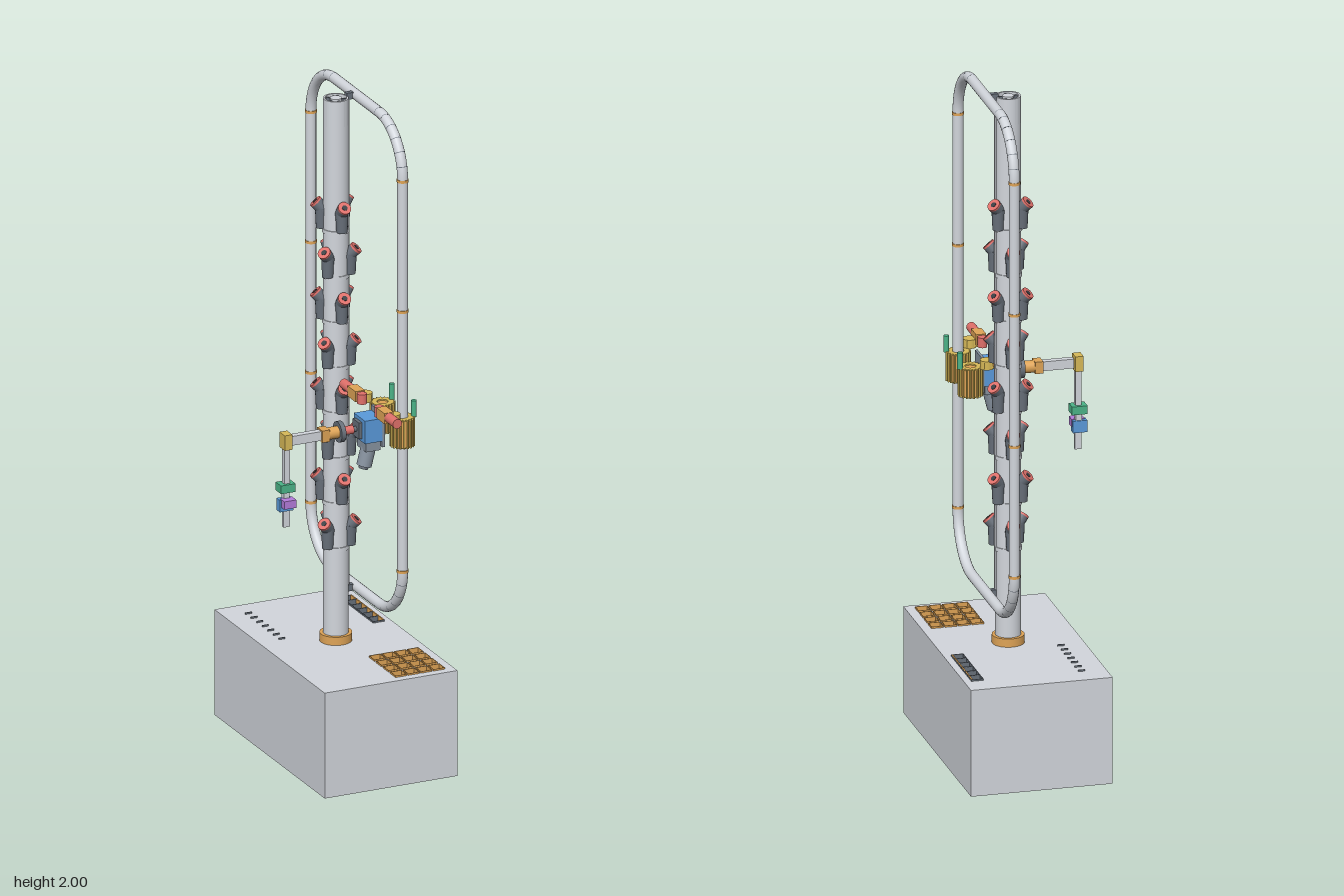
import * as THREE from 'three';

const mat = (name, color) => Object.assign(new THREE.MeshStandardMaterial({ color }), { name });
const M = {
  steel: mat('steel', 0xd2d6dc), slate: mat('slate', 0x87929f), dark: mat('dark grey', 0x68707a),
  black: mat('black', 0x3a3d42), red: mat('red', 0xe0706a), orange: mat('orange', 0xdfa456),
  gold: mat('gold', 0xd8ba58), blue: mat('blue', 0x5a9adb), green: mat('green', 0x4bb488),
  purple: mat('purple', 0xb47cdc),
};

function add(parent, name, geo, material, x = 0, y = 0, z = 0) {
  const m = new THREE.Mesh(geo, material);
  m.name = name;
  m.position.set(x, y, z);
  parent.add(m);
  return m;
}
const box = (p, n, m, w, h, d, x, y, z) => add(p, n, new THREE.BoxGeometry(w, h, d), m, x, y, z);
// Cylinder along the chosen axis
function cyl(p, n, m, r, len, axis, x, y, z, r2 = r, seg = 24) {
  const g = new THREE.CylinderGeometry(r, r2, len, seg);
  if (axis === 'x') g.rotateZ(Math.PI / 2);
  if (axis === 'z') g.rotateX(Math.PI / 2);
  return add(p, n, g, m, x, y, z);
}
function group(p, name, x = 0, y = 0, z = 0) {
  const g = new THREE.Group();
  g.name = name;
  g.position.set(x, y, z);
  p.add(g);
  return g;
}
// Rectangle in plan, with its corners at x, z plus or minus half the size
function rect(Type, x, z, w, d) {
  return new Type([[-1, -1], [1, -1], [1, 1], [-1, 1]]
    .map(([a, b]) => new THREE.Vector2(x + a * w / 2, -z + b * d / 2)));
}
const extrudeUp = (shape, depth) =>
  new THREE.ExtrudeGeometry(shape, { depth, bevelEnabled: false, curveSegments: 10 }).rotateX(-Math.PI / 2);

function buildBase(root) {
  const base = group(root, 'base');
  const floor = 0.29, top = 0.323;
  box(base, 'baseBox', M.steel, 0.42, floor, 0.735, 0.042, floor / 2, -0.0275);
  const lid = rect(THREE.Shape, 0.042, -0.0275, 0.42, 0.735);
  // A framed pocket sunk into the lid
  const pocket = (x, z, w, d, name, floorMaterial, frameMaterial) => {
    lid.holes.push(rect(THREE.Path, x, z, w, d));
    const frame = rect(THREE.Shape, x, z, w, d);
    frame.holes.push(rect(THREE.Path, x, z, w - 0.003, d - 0.003));
    add(base, 'pocketFrame', extrudeUp(frame, top + 0.005 - floor), frameMaterial, 0, floor, 0);
    box(base, name, floorMaterial, w - 0.002, 0.004, d - 0.002, x, floor + 0.002, z);
  };
  for (const z of [0.155, 0.202, 0.249, 0.297]) {
    for (const x of [0.086, 0.126, 0.166, 0.206]) {
      pocket(x, z, 0.036, 0.036, 'sampleFloor', M.green, M.orange);
      cyl(base, 'sample', M.red, 0.0165, 0.008, 'y', x, floor + 0.006, z);
    }
  }
  // Strip of tile pockets with an orange wall along one side
  for (let i = 0; i < 6; i++) {
    const z = -0.304 + i * 0.0368;
    pocket(0.213, z, 0.036, 0.0358, 'tile', M.slate, M.dark);
    box(base, 'tileWall', M.orange, 0.004, top + 0.006 - floor, 0.0325, 0.2285, (floor + top + 0.006) / 2, z);
  }
  add(base, 'baseLid', extrudeUp(lid, top - floor), M.steel, 0, floor, 0);
  // Row of upright tool blades
  for (let i = 0; i < 7; i++)
    box(base, 'toolBlade', M.dark, 0.02, 0.006, 0.0025, -0.095, 0.325, -0.322 + i * 0.037);
}

function buildCup(parent, angle, y) {
  const c = group(parent, 'plantCup', 0, y, 0);
  c.rotation.y = angle;
  cyl(c, 'cupBody', M.dark, 0.019, 0.062, 'y', 0, -0.024, 0.041, 0.016, 16);
  const head = group(c, 'cupHead', 0, 0.006, 0.042);
  head.rotation.x = 0.75;
  cyl(head, 'cupNeck', M.dark, 0.0195, 0.034, 'y', 0, 0.003, 0, 0.018, 16);
  cyl(head, 'cupRim', M.red, 0.0195, 0.006, 'y', 0, 0.023, 0, 0.0195, 16);
  cyl(head, 'cupHole', M.black, 0.008, 0.002, 'y', 0, 0.0262, 0, 0.008, 16);
}

function buildTower(root) {
  const t = group(root, 'tower', 0.042, 0, -0.029);
  cyl(t, 'collar', M.orange, 0.047, 0.025, 'y', 0, 0.336, 0, 0.047, 32);
  // Hollow outer wall with a central pipe
  const wall = [[0.037, 0.323], [0.037, 1.985]].map(([r, y]) => new THREE.Vector2(r, y));
  add(t, 'towerWall', new THREE.LatheGeometry(wall, 32), M.steel);
  const rim = new THREE.Shape().absarc(0, 0, 0.037, 0, Math.PI * 2);
  rim.holes.push(new THREE.Path().absarc(0, 0, 0.031, 0, Math.PI * 2, true));
  add(t, 'towerRim', extrudeUp(rim, 0.08), M.steel, 0, 1.905, 0);
  cyl(t, 'towerFloor', M.dark, 0.032, 0.01, 'y', 0, 1.92, 0);
  cyl(t, 'corePipe', M.steel, 0.017, 0.07, 'y', 0, 1.95, 0);
  for (let i = 0; i < 5; i++) {
    const s = group(t, 'spoke', 0, 1.975, 0);
    s.rotation.y = i * Math.PI * 0.4;
    box(s, 'spokeBar', M.dark, 0.005, 0.012, 0.016, 0, 0, 0.024);
  }
  // Slim upright strip facing the rail
  box(t, 'railStrip', M.steel, 0.008, 1.5, 0.014, 0.0365, 1.235, 0);
  // Staggered rows of three cups
  for (let i = 0; i < 8; i++) {
    const y = 1.642 - i * 0.1385;
    cyl(t, 'sectionRing', M.steel, 0.0395, 0.012, 'y', 0, y - 0.06, 0, 0.0395, 32);
    for (let k = 0; k < 3; k++) buildCup(t, (k * 2 + (i % 2)) * Math.PI / 3, y);
  }
}

function buildRail(root) {
  const rail = group(root, 'railLoop', 0.106, 0, 0);
  const z0 = -0.33, z1 = 0.282, y0 = 0.478, y1 = 1.984, r = 0.155, k = r * 0.4477;
  const V = (y, z) => new THREE.Vector3(0, y, z);
  const path = new THREE.CurvePath();
  const arc = (a, b, c, d) => {
    const curve = new THREE.CubicBezierCurve3(a, b, c, d);
    path.add(curve);
    // Dark seams on the bent sections
    for (let i = 0; i <= 6; i++) {
      const u = i / 6;
      const ring = add(rail, 'bendSeam', new THREE.CylinderGeometry(0.0155, 0.0155, 0.002, 16), M.dark);
      ring.position.copy(curve.getPointAt(u));
      ring.quaternion.setFromUnitVectors(new THREE.Vector3(0, 1, 0), curve.getTangentAt(u));
    }
  };
  const line = (a, b) => path.add(new THREE.LineCurve3(a, b));
  line(V(y0 + r, z1), V(y1 - r, z1));
  arc(V(y1 - r, z1), V(y1 - k, z1), V(y1, z1 - k), V(y1, z1 - r));
  line(V(y1, z1 - r), V(y1, z0 + r));
  arc(V(y1, z0 + r), V(y1, z0 + k), V(y1 - k, z0), V(y1 - r, z0));
  line(V(y1 - r, z0), V(y0 + r, z0));
  arc(V(y0 + r, z0), V(y0 + k, z0), V(y0, z0 + k), V(y0, z0 + r));
  line(V(y0, z0 + r), V(y0, z1 - r));
  arc(V(y0, z1 - r), V(y0, z1 - k), V(y0 + k, z1), V(y0 + r, z1));
  add(rail, 'railTube', new THREE.TubeGeometry(path, 300, 0.0155, 16, true), M.steel);
  for (const z of [z0, z1])
    for (const y of [0.633, 1.03, 1.43, 1.829])
      cyl(rail, 'joint', M.orange, 0.0172, 0.008, 'y', 0, y, z, 0.0172, 20);
  // Brackets to the tower
  for (const y of [y0, 1.985]) box(rail, 'bracket', M.dark, 0.026, 0.02, 0.016, -0.02, y, -0.029);
}

// Toothed roller with a bore for the rail
function gearGeometry() {
  const s = new THREE.Shape();
  const n = 20;
  for (let i = 0; i < n * 4; i++) {
    const a = (i / (n * 4)) * Math.PI * 2, r = i % 4 < 2 ? 0.037 : 0.031;
    s[i ? 'lineTo' : 'moveTo'](Math.cos(a) * r, Math.sin(a) * r);
  }
  s.holes.push(new THREE.Path().absarc(0, 0, 0.0165, 0, Math.PI * 2, true));
  return extrudeUp(s, 0.088);
}

function buildCarriage(root) {
  const car = group(root, 'carriage', 0, 0, 0.216);
  // Mirrored gripper units on either side of the motor
  for (const s of [1, -1]) {
    add(car, 'gearRoller', gearGeometry(), M.gold, 0.105, 1.018, s * 0.066);
    cyl(car, 'rollerCore', M.orange, 0.0335, 0.08, 'y', 0.105, 1.062, s * 0.066);
    cyl(car, 'hinge', M.gold, 0.02, 0.026, 'y', 0.064, 1.118, s * 0.094);
    cyl(car, 'greenPin', M.green, 0.008, 0.05, 'y', 0.138, 1.128, s * 0.074, 0.008, 16);
    box(car, 'hingeArm', M.gold, 0.035, 0.02, 0.036, 0.058, 1.118, s * 0.094);
    box(car, 'actuator', M.orange, 0.03, 0.032, 0.053, 0.036, 1.132, s * 0.096);
    cyl(car, 'actuatorRod', M.red, 0.0145, 0.057, 'z', 0.036, 1.133, s * 0.15);
    cyl(car, 'actuatorKnob', M.red, 0.014, 0.03, 'y', 0.036, 1.13, s * 0.057);
  }
  // Central motor block
  box(car, 'backPlate', M.slate, 0.008, 0.105, 0.075, 0.059, 1.062, 0);
  box(car, 'motorBlock', M.blue, 0.055, 0.07, 0.075, 0.028, 1.063, 0);
  box(car, 'underBlock', M.slate, 0.045, 0.03, 0.06, 0.03, 1.014, 0);
  const motor = group(car, 'hangingMotor', 0.022, 0.975, 0);
  motor.rotation.z = -0.25;
  cyl(motor, 'motorBody', M.slate, 0.022, 0.056, 'y', 0, 0, 0);
  cyl(motor, 'motorCap', M.dark, 0.014, 0.01, 'y', 0, -0.032, 0);
}

function buildArm(root) {
  const arm = group(root, 'arm', 0, 1.063, 0.214);
  box(arm, 'shoulderPlate', M.dark, 0.01, 0.05, 0.042, -0.005, 0, 0);
  cyl(arm, 'shoulderShaft', M.red, 0.0125, 0.036, 'x', -0.038, 0, 0);
  cyl(arm, 'shoulderPin', M.dark, 0.008, 0.02, 'x', -0.014, 0, 0);
  cyl(arm, 'shoulderDisc', M.dark, 0.031, 0.014, 'x', -0.061, 0, 0, 0.031, 32);
  cyl(arm, 'sleeve', M.orange, 0.018, 0.032, 'x', -0.084, 0, 0);
  box(arm, 'elbowBlock', M.orange, 0.024, 0.036, 0.036, -0.112, 0, 0);
  box(arm, 'upperLink', M.steel, 0.095, 0.028, 0.02, -0.17, 0, 0);
  box(arm, 'wristBlock', M.gold, 0.024, 0.046, 0.036, -0.231, 0, 0);
  box(arm, 'lowerLink', M.steel, 0.018, 0.115, 0.018, -0.231, -0.075, 0);
  box(arm, 'wristJoint', M.green, 0.046, 0.025, 0.037, -0.232, -0.141, 0);
  box(arm, 'wristNeck', M.steel, 0.018, 0.03, 0.016, -0.232, -0.165, 0);
  box(arm, 'toolMotor', M.blue, 0.042, 0.036, 0.024, -0.235, -0.193, 0.001);
  box(arm, 'toolPlate', M.purple, 0.038, 0.024, 0.03, -0.232, -0.185, 0.017);
  box(arm, 'toolTip', M.steel, 0.02, 0.06, 0.009, -0.231, -0.233, 0);
}

export function createModel() {
  const root = new THREE.Group();
  root.name = 'towerFarm';
  buildBase(root);
  buildTower(root);
  buildRail(root);
  buildCarriage(root);
  buildArm(root);
  return root;
}
